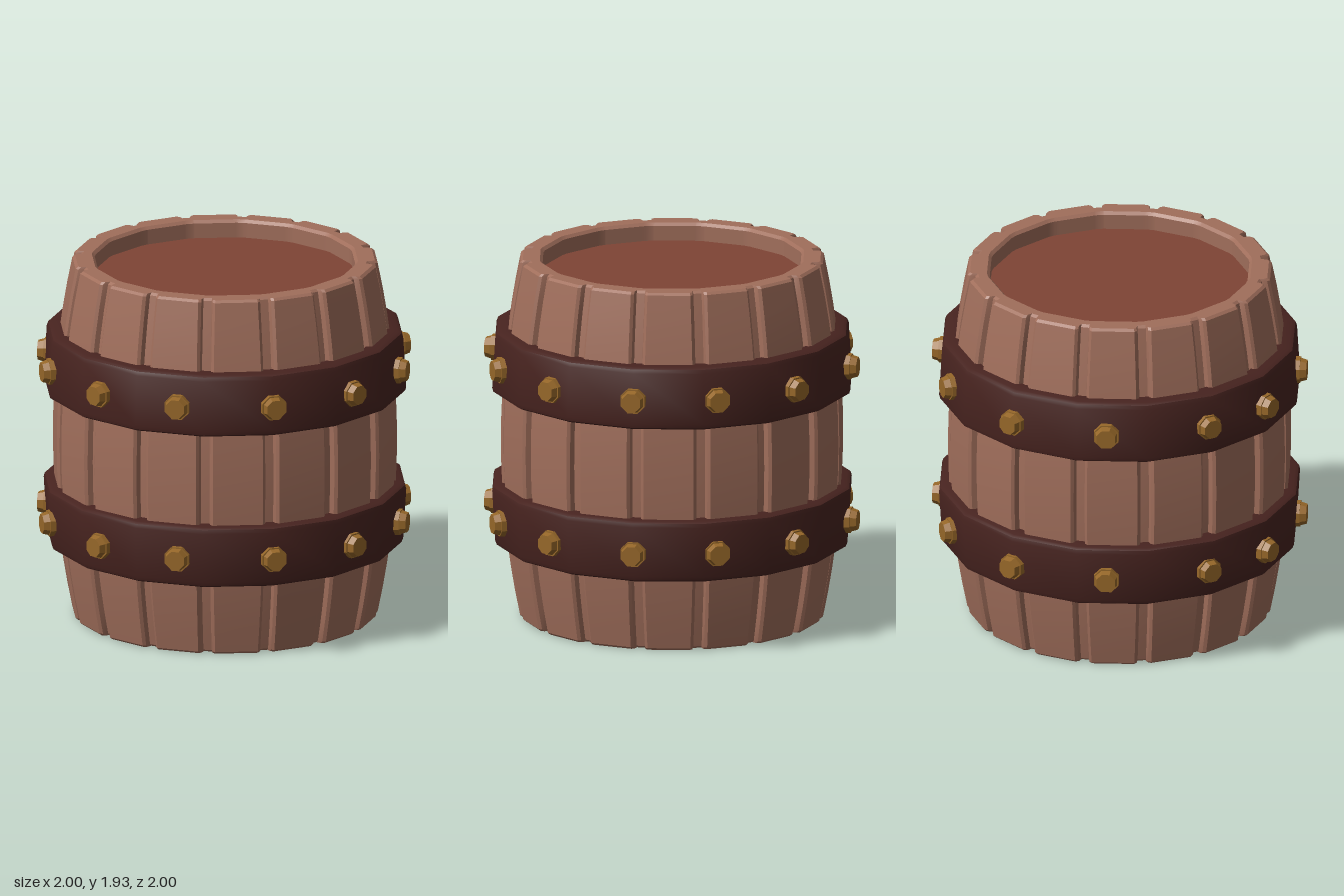
import * as THREE from 'three';
import { toCreasedNormals } from 'three/addons/utils/BufferGeometryUtils.js';

const STAVES = 16, H = 1.935, MID = H / 2;
const STEP = (Math.PI * 2) / STAVES;

// Bulging outer radius of the staves at height y
const bulge = (y) => 0.905 - 0.105 * ((y - MID) / MID) ** 2;

// Distance factor of a flat-sided polygon with its corners at the grooves
const flat = (a) => {
  const t = ((a % STEP) + STEP) % STEP;
  return Math.cos(STEP / 2) / Math.cos(t - STEP / 2);
};

// Outer ring: flat staves with a bevelled groove between each pair
function outerRing(y, r) {
  const groove = [[-0.045, 0], [-0.03, 0.012], [-0.023, 0.04], [0.023, 0.04], [0.03, 0.012], [0.045, 0]];
  const ring = [];
  for (let s = 0; s < STAVES; s++) {
    for (const [w, depth] of groove) {
      const a = s * STEP + w / r;
      ring.push([Math.sin(a) * (r - depth), y, Math.cos(a) * (r - depth)]);
    }
  }
  return ring;
}

// Inner ring: plain polygon sampled at the same angles as the outer ring
function innerRing(y, r) {
  return outerRing(y, 0.8).map(([x, , z]) => {
    const a = Math.atan2(x, z), d = r * flat(a);
    return [Math.sin(a) * d, y, Math.cos(a) * d];
  });
}

// Skin a closed loop of rings
function loft(rings) {
  const n = rings[0].length, index = [];
  for (let i = 0; i < rings.length; i++) {
    const k = (i + 1) % rings.length;
    for (let j = 0; j < n; j++) {
      const m = (j + 1) % n;
      index.push(i * n + j, i * n + m, k * n + m, i * n + j, k * n + m, k * n + j);
    }
  }
  const g = new THREE.BufferGeometry();
  g.setAttribute('position', new THREE.Float32BufferAttribute(rings.flat(2), 3));
  g.setIndex(index);
  return toCreasedNormals(g, 0.5);
}

export function createModel() {
  const group = new THREE.Group();
  const mat = (color, extra) => new THREE.MeshStandardMaterial({ color, ...extra });
  const wood = mat(0xa06e5b), lidWood = mat(0x7f4435), iron = mat(0x47231f);
  const brass = mat(0x966729, { flatShading: true });
  const add = (name, geometry, material, parent = group) => {
    const m = new THREE.Mesh(geometry, material);
    m.name = name;
    parent.add(m);
    return m;
  };

  // Staves, with softened rims at both ends
  const rings = [outerRing(0, bulge(0) - 0.012)];
  const N = 14;
  for (let i = 0; i <= N; i++) {
    const y = 0.012 + (H - 0.024) * (i / N);
    rings.push(outerRing(y, bulge(y)));
  }
  rings.push(outerRing(H, bulge(H) - 0.012));
  rings.push(innerRing(H, 0.705), innerRing(H - 0.015, 0.69));
  rings.push(innerRing(0.015, 0.69), innerRing(0, 0.705));
  add('staves', loft(rings), wood);

  // Recessed end boards
  for (const [name, y] of [['lid', H - 0.11], ['base', 0.11]]) {
    add(name, new THREE.CylinderGeometry(0.695, 0.695, 0.03, STAVES), lidWood).position.y = y;
  }

  // Hoops: rounded section leaning with the bulge; dir points away from the middle
  const hoopSection = (dir) => {
    const pts = [[0.84, -0.166], [0.925, -0.166], [0.943, -0.156], [0.95, -0.135],
      [0.95, 0.135], [0.943, 0.156], [0.925, 0.166], [0.84, 0.166], [0.84, -0.166]];
    return pts.map(([r, y]) => new THREE.Vector2(r > 0.9 ? r - dir * y * 0.06 : r, y));
  };
  // Slightly uneven hand-set bolt angles in degrees
  const boltAngles = [0, 30, 60, 90, 117, 146, 180, 212, 246, 270, 300, 329];
  const washer = new THREE.CylinderGeometry(0.07, 0.073, 0.09, 8).rotateY(Math.PI / 8).rotateX(Math.PI / 2);
  const head = new THREE.CylinderGeometry(0.053, 0.063, 0.035, 8).rotateY(Math.PI / 8).rotateX(Math.PI / 2);

  for (const [name, y, dir] of [['upper', 1.397, 1], ['lower', 0.567, -1]]) {
    const hoop = new THREE.Group();
    hoop.name = name + 'Hoop';
    hoop.position.y = y;
    group.add(hoop);
    add(name + 'Band', toCreasedNormals(new THREE.LatheGeometry(hoopSection(dir), STAVES), 0.6), iron, hoop);
    for (const deg of boltAngles) {
      const bolt = new THREE.Group();
      bolt.name = 'bolt';
      bolt.position.y = -0.01;
      bolt.rotation.y = THREE.MathUtils.degToRad(deg);
      const out = deg % 90 === 0 ? 0 : -0.01;
      add('boltWasher', washer, brass, bolt).position.z = 0.921 + out;
      add('boltHead', head, brass, bolt).position.z = 0.9825 + out;
      hoop.add(bolt);
    }
  }
  return group;
}
